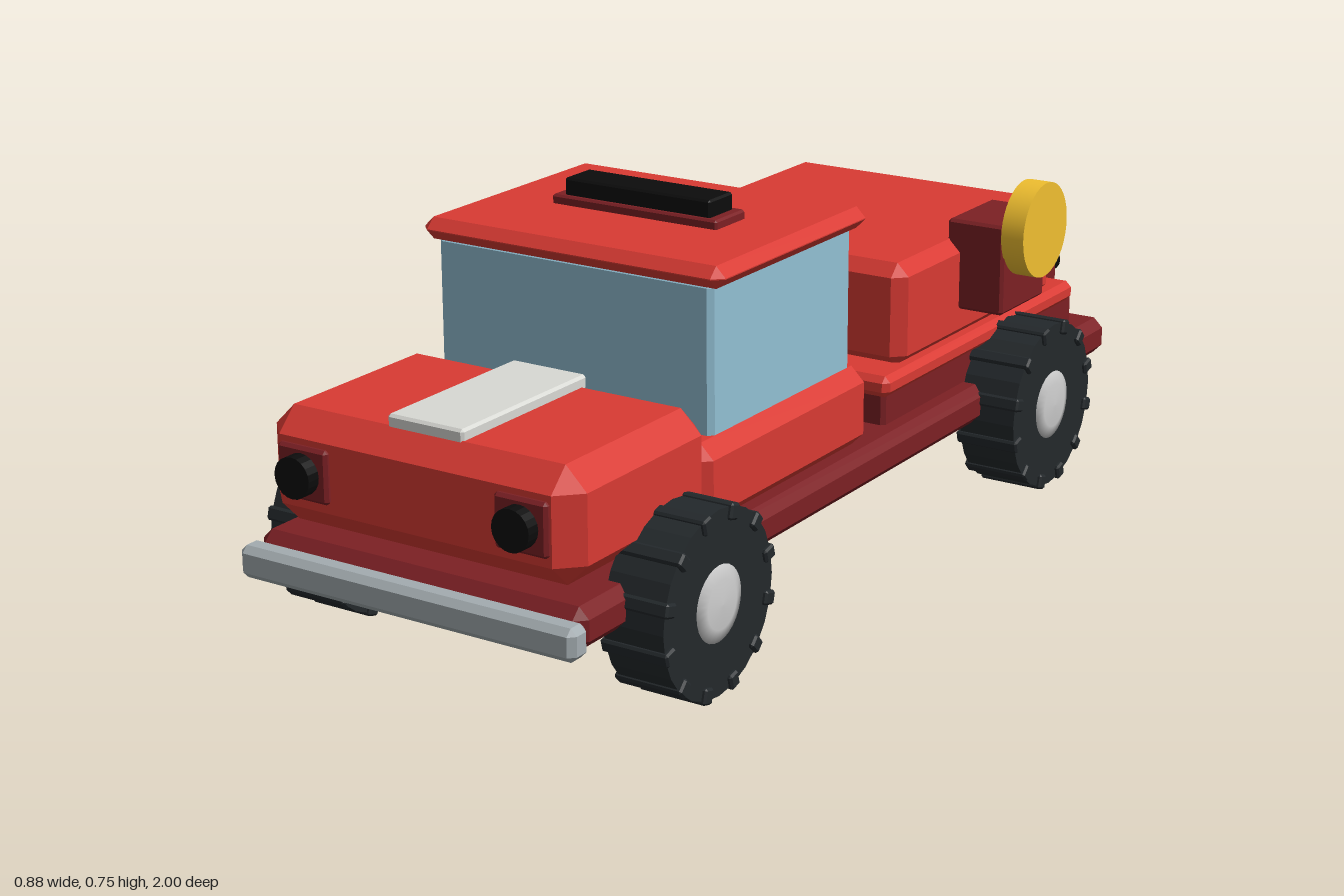
import * as THREE from 'three';
import { ConvexGeometry } from 'three/addons/geometries/ConvexGeometry.js';

const CX = -0.01; // centreline of the body

const paint = (color, flatShading = false) => new THREE.MeshStandardMaterial({ color, flatShading });
const red = paint(0xd93a33, true);
const darkRed = paint(0x7c2024, true);
const chrome = paint(0xa3acb0, true);
const pale = paint(0xd8d9d4, true);
const glass = paint(0x92bfd3, true);
const black = paint(0x0c0c0c, true);
const rubber = paint(0x23282b, true);
const hubPaint = paint(0xd9d9d6);
const gold = paint(0xf0bf30);

// Box with every edge and corner cut at 45 degrees by b
function chamferBox(w, h, d, b) {
  const pts = [];
  for (const i of [-1, 1]) for (const j of [-1, 1]) for (const k of [-1, 1]) {
    for (let a = 0; a < 3; a++) {
      pts.push(new THREE.Vector3(
        i * (w / 2 - (a === 0 ? 0 : b)),
        j * (h / 2 - (a === 1 ? 0 : b)),
        k * (d / 2 - (a === 2 ? 0 : b))));
    }
  }
  return new ConvexGeometry(pts);
}

export function createModel() {
  const model = new THREE.Group();
  model.name = 'truck';

  const add = (name, geometry, material, x, y, z, parent = model) => {
    const mesh = new THREE.Mesh(geometry, material);
    mesh.name = name;
    mesh.position.set(x, y, z);
    parent.add(mesh);
    return mesh;
  };
  // Chamfered block given by its ranges
  const block = (name, material, [x0, x1], [y0, y1], [z0, z1], bevel) =>
    add(name, chamferBox(x1 - x0, y1 - y0, z1 - z0, bevel), material,
      (x0 + x1) / 2, (y0 + y1) / 2, (z0 + z1) / 2);

  // Chassis and bumper
  block('chassis', darkRed, [-0.357, 0.337], [0.17, 0.248], [-1, 0.96], 0.02);
  block('frontBumper', chrome, [-0.366, 0.346], [0.17, 0.23], [0.95, 1], 0.012);

  // Bonnet and cab
  block('hood', red, [-0.337, 0.319], [0.268, 0.478], [0.535, 0.957], 0.042);
  block('hoodPlate', pale, [-0.09, 0.07], [0.47, 0.498], [0.56, 0.917], 0.005);
  block('cabBase', red, [-0.333, 0.315], [0.245, 0.403], [-0.015, 0.56], 0.028);
  block('cabWindows', glass, [-0.305, 0.287], [0.39, 0.68], [0.018, 0.495], 0.01);
  block('roof', red, [-0.333, 0.315], [0.672, 0.713], [-0.003, 0.513], 0.0195);
  block('lightBarBase', darkRed, [-0.19, 0.17], [0.705, 0.73], [0.2, 0.298], 0.004);
  block('lightBar', black, [-0.168, 0.15], [0.725, 0.762], [0.21, 0.288], 0.004);

  // Rear deck and body
  block('deckSupport', darkRed, [-0.31, 0.29], [0.24, 0.32], [-0.92, -0.11], 0.008);
  block('deck', red, [-0.333, 0.313], [0.313, 0.355], [-0.88, -0.08], 0.012);
  block('rearBody', red, [-0.317, 0.297], [0.345, 0.553], [-0.805, -0.16], 0.025);

  // Side reel with round cap
  block('reelMount', darkRed, [0.268, 0.392], [0.412, 0.594], [-0.575, -0.392], 0.006);
  add('reelCap', new THREE.CylinderGeometry(0.095, 0.095, 0.048, 40), gold, 0.414, 0.575, -0.48)
    .rotation.z = Math.PI / 2;

  // Lamps and rear panels, mirrored about the centreline
  for (const s of [-1, 1]) {
    const x = CX + s * 0.23;
    const span = half => [x - half, x + half];
    block('headlightFrame', darkRed, span(0.054), [0.327, 0.425], [0.93, 0.967], 0.006);
    add('headlight', new THREE.CylinderGeometry(0.038, 0.038, 0.04, 20), black, x, 0.376, 0.973)
      .rotation.x = Math.PI / 2;
    block('rearLampPost', darkRed, span(0.031), [0.245, 0.425], [-0.922, -0.825], 0.006);
    add('rearLamp', new THREE.CylinderGeometry(0.026, 0.026, 0.035, 16), black, x, 0.373, -0.933)
      .rotation.x = Math.PI / 2;
    const px = CX + s * 0.167;
    block('rearPanel', pale, [px - 0.133, px + 0.133], [0.4, 0.528], [-0.826, -0.8], 0.005);
  }

  // Wheels: tyre, hub and a ring of tread lugs
  const tyreGeo = new THREE.CylinderGeometry(0.17, 0.17, 0.12, 24);
  const hubProfile = [[0, -0.069], [0.045, -0.067], [0.07, -0.06], [0.07, 0.06], [0.045, 0.067], [0, 0.069]];
  const hubGeo = new THREE.LatheGeometry(hubProfile.map(p => new THREE.Vector2(...p)), 28);
  const lugGeo = chamferBox(0.03, 0.136, 0.026, 0.004);
  for (const s of [-1, 1]) for (const z of [0.668, -0.587]) {
    const wheel = new THREE.Group();
    wheel.name = z > 0 ? 'frontWheel' : 'rearWheel';
    wheel.position.set(CX + s * 0.363, 0.179, z);
    wheel.rotation.z = Math.PI / 2;
    add('tyre', tyreGeo, rubber, 0, 0, 0, wheel);
    add('hub', hubGeo, hubPaint, 0, 0, 0, wheel);
    for (let i = 0; i < 12; i++) {
      const a = (i + 0.5) * Math.PI / 6;
      add('treadLug', lugGeo, rubber, Math.cos(a) * 0.16, 0, Math.sin(a) * 0.16, wheel)
        .rotation.y = -a;
    }
    model.add(wheel);
  }
  return model;
}
